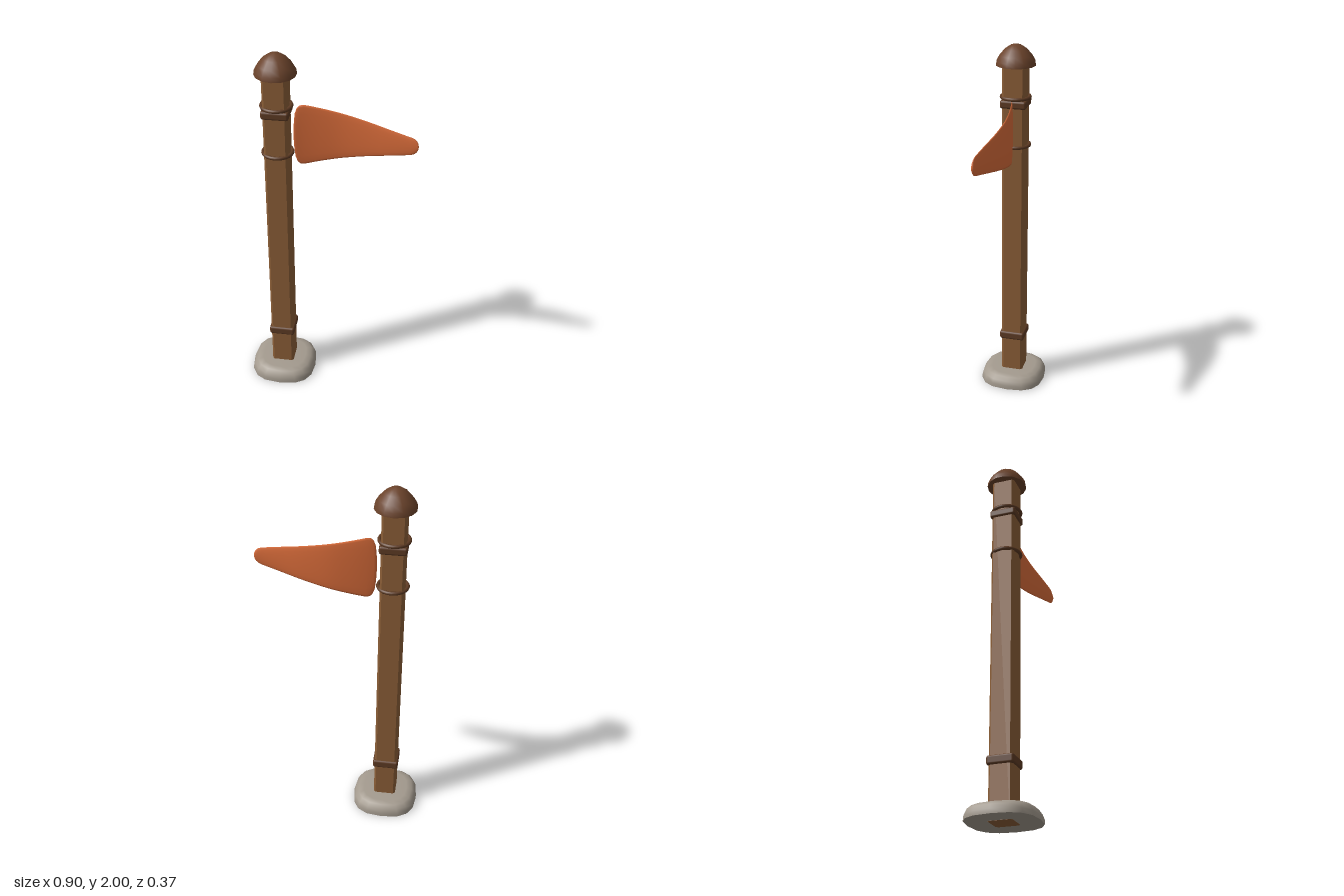
import * as THREE from 'three';
import { mergeVertices } from 'three/addons/utils/BufferGeometryUtils.js';
import { RoundedBoxGeometry } from 'three/addons/geometries/RoundedBoxGeometry.js';

const POST_X = -0.27;
const mat = (color) => new THREE.MeshStandardMaterial({ color, roughness: 0.9 });

// Weld seams so that reshaped surfaces shade smoothly
function smooth(geometry) {
  geometry.deleteAttribute('uv');
  geometry.deleteAttribute('normal');
  const welded = mergeVertices(geometry, 1e-5);
  welded.computeVertexNormals();
  return welded;
}

// Square post with chamfered corners
function postGeometry(half, chamfer, height) {
  const a = half, b = half - chamfer;
  const shape = new THREE.Shape(
    [[a, -b], [a, b], [b, a], [-b, a], [-a, b], [-a, -b], [-b, -a], [b, -a]]
      .map(([x, y]) => new THREE.Vector2(x, y)));
  return new THREE.ExtrudeGeometry(shape, { depth: height, bevelEnabled: false }).rotateX(-Math.PI / 2);
}

// Worn stone: a turned profile pushed out to a rounded square
function stoneGeometry() {
  const profile = [[0.183, 0.001], [0.183, 0.024], [0.174, 0.048], [0.155, 0.066], [0.125, 0.073], [0, 0.075]]
    .map(([r, y]) => new THREE.Vector2(r, y));
  const g = new THREE.LatheGeometry(profile, 16);
  const p = g.attributes.position;
  const squarish = (c) => Math.sign(c) * Math.abs(c) ** 0.755;
  for (let i = 0; i < p.count; i++) {
    const x = p.getX(i), z = p.getZ(i), r = Math.hypot(x, z);
    if (r > 1e-6) p.setXYZ(i, r * squarish(x / r), p.getY(i), r * squarish(z / r));
  }
  return smooth(g);
}

// Tapered pennant: a thin oval section swept along a wavy line
function pennantGeometry() {
  const stations = [[-0.182, 0.09], [-0.178, 0.125], [-0.168, 0.153], [-0.155, 0.167], [-0.135, 0.17]];
  for (let i = 1; i <= 14; i++) stations.push([-0.135 + 0.545 * i / 14, 0.17 - 0.12 * i / 14]);
  stations.push([0.428, 0.043], [0.441, 0.031], [0.448, 0.016], [0.45, 0.004]);
  const last = stations.length - 1;
  const wave = new THREE.SplineCurve(
    [[-0.19, 0], [-0.1, -0.019], [0.04, -0.03], [0.18, -0.018], [0.31, 0.006], [0.4, 0.022], [0.45, 0.027]]
      .map(([x, z]) => new THREE.Vector2(x, z))).getPoints(100);
  const waveAt = (x) => {
    const k = Math.max(1, wave.findIndex((q) => q.x >= x));
    const a = wave[k - 1], b = wave[k];
    return THREE.MathUtils.lerp(a.y, b.y, (x - a.x) / (b.x - a.x));
  };
  const g = new THREE.CylinderGeometry(1, 1, 1, 16, last);
  const p = g.attributes.position;
  for (let i = 0; i < p.count; i++) {
    const n = Math.round((p.getY(i) + 0.5) * last);
    const [station, half] = stations[n];
    const up = p.getZ(i), side = p.getX(i);
    // the hoist edge bows gently towards the post
    const x = station - (n < 4 ? 0.004 * (1 - up * up) : 0);
    const thick = 0.007 * (n === 0 || n === last ? 0.4 : 1);
    p.setXYZ(i, x, 1.555 + up * half, waveAt(x) + side * thick);
  }
  return smooth(g);
}

export function createModel() {
  const root = new THREE.Group();
  const wood = mat(0x8b5e37), darkWood = mat(0x5e3b24), capWood = mat(0x6b432b);
  const stone = mat(0xa39a8e), cloth = mat(0xd96c3a);

  const add = (name, geometry, material, x = POST_X, y = 0) => {
    const mesh = new THREE.Mesh(geometry, material);
    mesh.name = name;
    mesh.position.set(x, y, 0);
    root.add(mesh);
  };

  add('baseStone', stoneGeometry(), stone);
  // underside of the stone
  const outline = [];
  for (let i = 0; i < 16; i++) {
    const a = i * Math.PI / 8, s = (c) => 0.183 * Math.sign(c) * Math.abs(c) ** 0.755;
    outline.push(new THREE.Vector2(s(Math.cos(a)), s(Math.sin(a))));
  }
  add('baseUnderside', new THREE.ShapeGeometry(new THREE.Shape(outline)).rotateX(Math.PI / 2), stone, POST_X, 0.001);

  add('post', postGeometry(0.062, 0.011, 1.9), wood);

  // Square collars
  for (const [name, y, h] of [['lowerCollar', 0.297, 0.048], ['upperCollar', 1.688, 0.044]]) {
    add(name, new RoundedBoxGeometry(0.142, h, 0.142, 2, 0.012), darkWood, POST_X, y);
  }

  // Rings that hold the pennant
  for (const [name, y] of [['upperRing', 1.72], ['lowerRing', 1.455]]) {
    add(name, new THREE.TorusGeometry(0.076, 0.01, 8, 24).rotateX(Math.PI / 2), darkWood, POST_X, y);
  }

  // Domed cap with a flat underside
  const dome = [[0.107, 1.89], [0.104, 1.913], [0.087, 1.942], [0.058, 1.975], [0.028, 1.995], [0, 2]]
    .map(([r, y]) => new THREE.Vector2(r, y));
  add('cap', new THREE.LatheGeometry(dome, 14), capWood);
  add('capUnderside', new THREE.CircleGeometry(0.107, 14, Math.PI / 2).rotateX(Math.PI / 2), capWood, POST_X, 1.89);

  add('pennant', pennantGeometry(), cloth, 0);
  return root;
}
